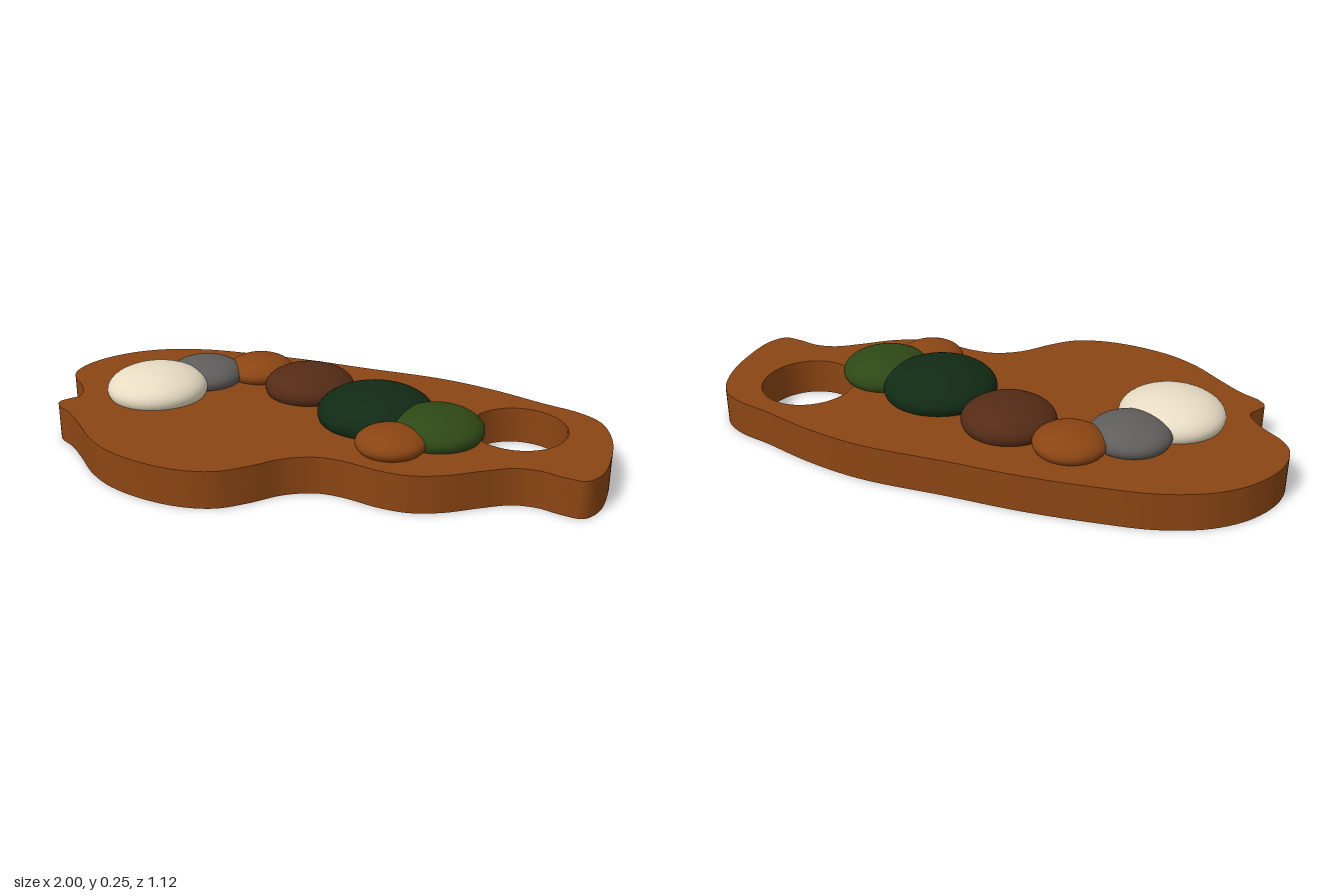
import * as THREE from 'three';
import { toCreasedNormals } from 'three/addons/utils/BufferGeometryUtils.js';

const THICKNESS = 0.13;

const mat = (name, color) => {
  const m = new THREE.MeshStandardMaterial({ color });
  m.name = name;
  return m;
};

// Outline of the board as x, z pairs, followed by a smooth closed curve
const OUTLINE = [
  [-1, -0.24], [-0.97, -0.35], [-0.88, -0.46], [-0.75, -0.535], [-0.58, -0.565], [-0.4, -0.552],
  [-0.15, -0.515], [0.1, -0.457], [0.4, -0.39], [0.6, -0.305], [0.78, -0.2], [0.9, -0.135],
  [0.97, -0.06], [1, 0.08], [0.985, 0.25], [0.95, 0.37], [0.9, 0.423], [0.83, 0.405],
  [0.76, 0.372], [0.68, 0.367], [0.58, 0.405], [0.47, 0.455], [0.36, 0.475], [0.26, 0.455],
  [0.14, 0.405], [0.05, 0.39], [-0.05, 0.42], [-0.15, 0.495], [-0.24, 0.547], [-0.34, 0.558],
  [-0.47, 0.532], [-0.62, 0.46], [-0.72, 0.37], [-0.8, 0.26], [-0.87, 0.17], [-0.93, 0.115],
  [-0.945, 0.075], [-0.92, 0.04], [-0.893, 0.01], [-0.895, -0.03], [-0.93, -0.1], [-0.98, -0.17],
];

function boardGeometry() {
  const curve = new THREE.CatmullRomCurve3(OUTLINE.map(([x, z]) => new THREE.Vector3(x, z, 0)), true);
  const points = curve.getPoints(240).slice(0, -1).map((p) => new THREE.Vector2(p.x, p.y));
  const shape = new THREE.Shape(points);

  // Thumb hole
  const hole = new THREE.Path();
  hole.absellipse(0.692, 0.044, 0.168, 0.184, 0, Math.PI * 2, true);
  shape.holes.push(hole);

  const geo = new THREE.ExtrudeGeometry(shape, { depth: THICKNESS, bevelEnabled: false, curveSegments: 32 });
  geo.rotateX(Math.PI / 2);
  geo.translate(0, THICKNESS, 0);
  return toCreasedNormals(geo, Math.PI / 5);
}

export function createModel() {
  const group = new THREE.Group();
  group.name = 'paintPalette';

  const wood = mat('wood brown', 0x8b4513);
  const ivory = mat('ivory', 0xf2e6cc);
  const grey = mat('grey', 0x605e5c);
  const brown = mat('dark brown', 0x542b16);
  const darkGreen = mat('dark green', 0x112b15);
  const green = mat('leaf green', 0x2e4816);

  const board = new THREE.Mesh(boardGeometry(), wood);
  board.name = 'board';
  group.add(board);

  // Flattened paint dabs: name, x, z, radius, colour
  const dabs = [
    ['ivoryPaint', -0.62, -0.07, 0.183, ivory],
    ['greyPaint', -0.483, -0.238, 0.14, grey],
    ['backSiennaPaint', -0.29, -0.32, 0.125, wood],
    ['brownPaint', -0.073, -0.182, 0.164, brown],
    ['darkGreenPaint', 0.2, 0.034, 0.204, darkGreen],
    ['greenPaint', 0.418, 0.147, 0.163, green],
    ['frontSiennaPaint', 0.28, 0.284, 0.118, wood],
  ];
  const ball = new THREE.SphereGeometry(1, 48, 32);
  for (const [name, x, z, r, material] of dabs) {
    const dab = new THREE.Mesh(ball, material);
    dab.name = name;
    dab.position.set(x, 0.154, z);
    dab.scale.set(r, r * 0.45, r);
    group.add(dab);
  }
  return group;
}
